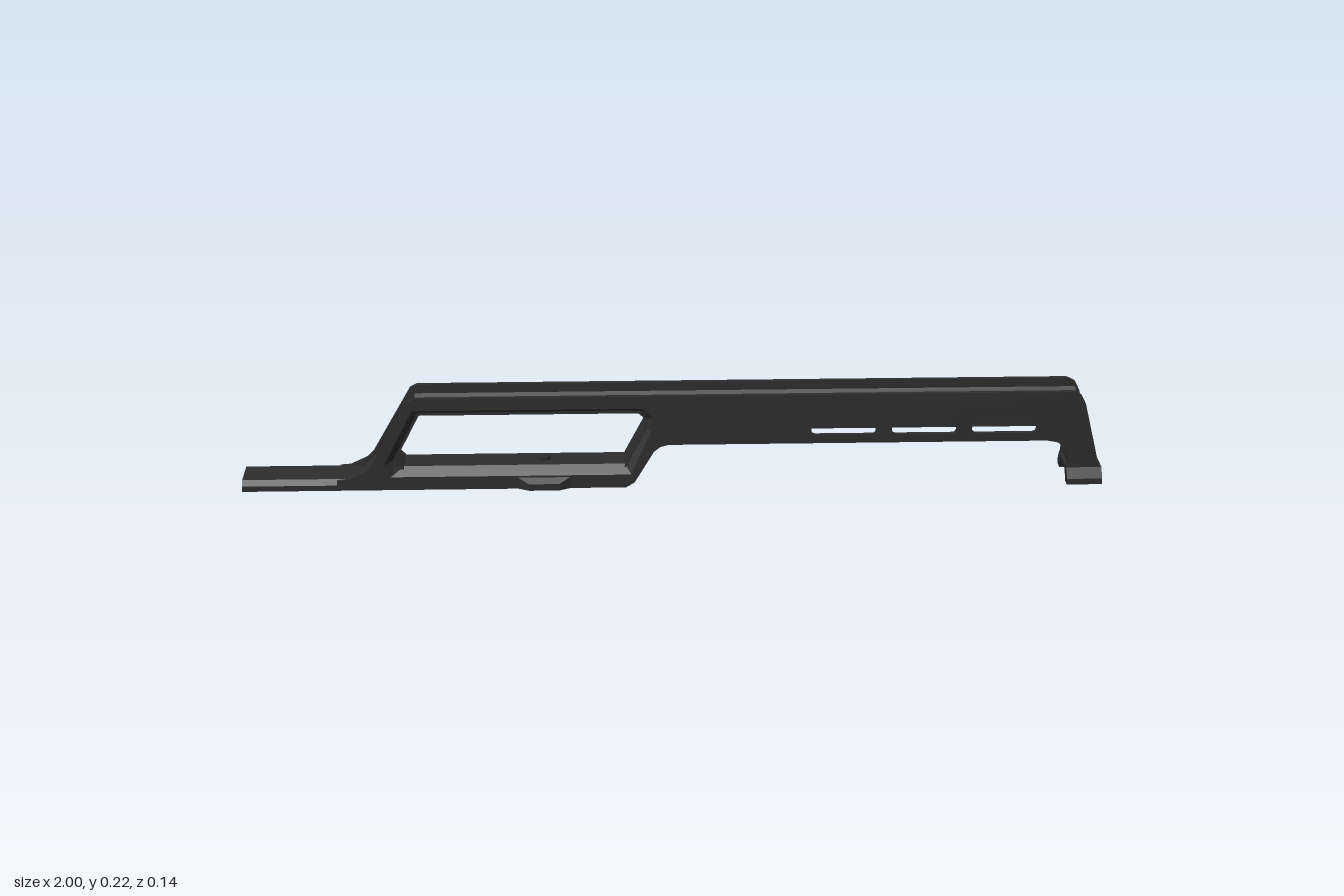
import * as THREE from 'three';

const body = new THREE.MeshStandardMaterial({ color: 0x2d2d2d, side: THREE.DoubleSide });
body.name = 'matte black';
const green = new THREE.MeshStandardMaterial({ color: 0x0cc81e });
green.name = 'fibre green';

const toShape = pts => new THREE.Shape(pts.map(p => new THREE.Vector2(p[0], p[1])));
// mirror a half section given from its right side
const mirrored = half => [...half, ...half.map(([z, y]) => [-z, y]).reverse()];

export function createModel() {
  const model = new THREE.Group();
  model.name = 'carryHandle';
  const add = (name, geo, mat = body) => {
    const m = new THREE.Mesh(geo, mat);
    m.name = name;
    model.add(m);
    return m;
  };
  const extrude = (shape, depth) =>
    new THREE.ExtrudeGeometry(shape, { depth, bevelEnabled: false, curveSegments: 4 });
  // side outline (x, y) given a thickness from z0 to z1
  const slab = (name, shape, z0, z1) => add(name, extrude(shape, z1 - z0).translate(0, 0, z0));
  // cross-section (z, y) swept from x0 to x1
  const beam = (name, section, x0, x1) =>
    add(name, extrude(toShape(section), x1 - x0).rotateY(Math.PI / 2).translate(x0, 0, 0));
  const box = (name, x, y, z, w, h, d) =>
    add(name, new THREE.BoxGeometry(w, h, d).translate(x, y, z));

  // side walls with the grip window and three rounded slots
  const outline = [
    [-0.78, 0], [-0.11, 0], [-0.09, 0.012], [-0.045, 0.088], [-0.03, 0.1], [-0.01, 0.105],
    [0.87, 0.105], [0.895, 0.1], [0.915, 0.08], [0.92, 0.06], [0.92, 0], [0.998, 0],
    [0.992, 0.045], [0.955, 0.195], [0.945, 0.215], [0.925, 0.225], [-0.595, 0.225],
    [-0.61, 0.217], [-0.7, 0.06], [-0.715, 0.044], [-0.755, 0.025], [-0.78, 0.023]];
  const windowOuter = [
    [-0.602, 0.195], [-0.07, 0.195], [-0.048, 0.172], [-0.051, 0.14],
    [-0.098, 0.032], [-0.655, 0.032], [-0.67, 0.062]];
  const windowInner = [
    [-0.585, 0.183], [-0.085, 0.183], [-0.064, 0.165], [-0.066, 0.14],
    [-0.112, 0.053], [-0.625, 0.053], [-0.643, 0.07]];
  const slot = (x0, x1, y0, y1, r) => {
    const p = new THREE.Path();
    p.moveTo(x0 + r, y0).lineTo(x1 - r, y0).quadraticCurveTo(x1, y0, x1, y0 + r);
    p.lineTo(x1, y1 - r).quadraticCurveTo(x1, y1, x1 - r, y1);
    p.lineTo(x0 + r, y1).quadraticCurveTo(x0, y1, x0, y1 - r);
    p.lineTo(x0, y0 + r).quadraticCurveTo(x0, y0, x0 + r, y0);
    return p;
  };
  const wall = toShape(outline);
  wall.holes.push(toShape(windowOuter));
  for (const x of [0.32, 0.507, 0.693]) wall.holes.push(slot(x, x + 0.15, 0.125, 0.16, 0.01));

  for (const s of [1, -1]) {
    const side = s > 0 ? 'left' : 'right';
    slab(side + 'Wall', wall, s > 0 ? 0.041 : -0.053, s > 0 ? 0.053 : -0.041);

    // chamfer running round the window
    const pos = [];
    const n = windowOuter.length;
    for (let i = 0; i < n; i++) {
      const j = (i + 1) % n;
      const a = [...windowOuter[i], s * 0.053], b = [...windowOuter[j], s * 0.053];
      const c = [...windowInner[j], s * 0.036], d = [...windowInner[i], s * 0.036];
      pos.push(...(s > 0 ? [a, b, c, a, c, d] : [a, c, b, a, d, c]).flat());
    }
    const chamfer = new THREE.BufferGeometry();
    chamfer.setAttribute('position', new THREE.Float32BufferAttribute(pos, 3));
    chamfer.computeVertexNormals();
    add(side + 'WindowChamfer', chamfer);

    // swelling on the lower bar
    const bump = [[-0.375, 0.045], [-0.335, 0.067], [-0.265, 0.067], [-0.225, 0.045]]
      .map(([x, z]) => [x, z * s]);
    const bumpGeo = extrude(toShape(bump), 0.034).rotateX(Math.PI / 2).translate(0, 0.034, 0);
    const p = bumpGeo.attributes.position;
    for (let i = 0; i < p.count; i++)
      if (p.getY(i) > 0.02 && Math.abs(p.getZ(i)) > 0.05) p.setY(i, 0.016);
    bumpGeo.computeVertexNormals();
    add(side + 'Swelling', bumpGeo);
  }

  // grooved roof between the walls
  beam('roof', mirrored([[0.042, 0.18], [0.042, 0.205], [0.017, 0.184]]), -0.6, 0.945);
  // ribs beneath the grip
  for (let i = 0; i < 18; i++) box('gripRib', -0.57 + i * 0.026, 0.181, 0, 0.012, 0.004, 0.056);

  // cores of the two window posts and the front end
  slab('rearPost', toShape([[-0.72, 0.03], [-0.625, 0.03], [-0.625, 0.053], [-0.643, 0.07],
    [-0.585, 0.183], [-0.602, 0.195], [-0.692, 0.052]]), -0.041, 0.041);
  slab('middlePost', toShape([[-0.112, 0.053], [-0.12, 0.01], [-0.092, 0.012], [-0.047, 0.088],
    [-0.03, 0.102], [0, 0.108], [0, 0.182], [-0.085, 0.183], [-0.064, 0.165], [-0.066, 0.14]]),
  -0.041, 0.041);
  slab('frontEnd', toShape([[0.925, 0.026], [0.99, 0.026], [0.988, 0.04], [0.953, 0.183],
    [0.9, 0.183], [0.9, 0.11], [0.922, 0.08]]), -0.041, 0.041);

  // hollow lower bar, tail rail and flared front foot
  beam('lowerBar', mirrored([[0.03, 0], [0.042, 0], [0.042, 0.034], [0.036, 0.053]])
    .concat([[-0.024, 0.03], [0.024, 0.03]]), -0.7, -0.1);
  beam('tailRail', mirrored([[0.042, 0], [0.053, 0], [0.053, 0.013], [0.042, 0.025]])
    .concat([[-0.033, 0.013], [0.033, 0.013]]), -1, -0.69);
  beam('frontFoot', mirrored([[0.042, 0], [0.068, 0], [0.068, 0.014], [0.053, 0.037]])
    .concat([[-0.029, 0.025], [0.029, 0.025]]), 0.918, 1);

  // small fasteners
  const stud = (name, x, y, r, h) =>
    add(name, new THREE.CylinderGeometry(r, r, h, 12).translate(x, y, 0));
  stud('barStud', -0.3, 0.057, 0.014, 0.01);
  stud('roofStud', -0.3, 0.184, 0.012, 0.003);
  stud('frontStud', 0.978, 0.04, 0.013, 0.01);

  // front sight: fibre rod held in a slim cradle
  box('sightBase', 0.82, 0.185, 0, 0.17, 0.006, 0.022);
  for (const s of [1, -1]) box('sightCheek', 0.82, 0.19, s * 0.0085, 0.17, 0.012, 0.005);
  add('sightRod', new THREE.CylinderGeometry(0.006, 0.006, 0.14, 12)
    .rotateZ(Math.PI / 2).translate(0.82, 0.195, 0), green);
  for (const x of [0.796, 0.844]) box('sightBand', x, 0.196, 0, 0.008, 0.011, 0.014);

  // rear sight block at the head of the groove
  for (const s of [1, -1]) box('rearSightCheek', -0.585, 0.188, s * 0.018, 0.03, 0.012, 0.01);

  return model;
}
